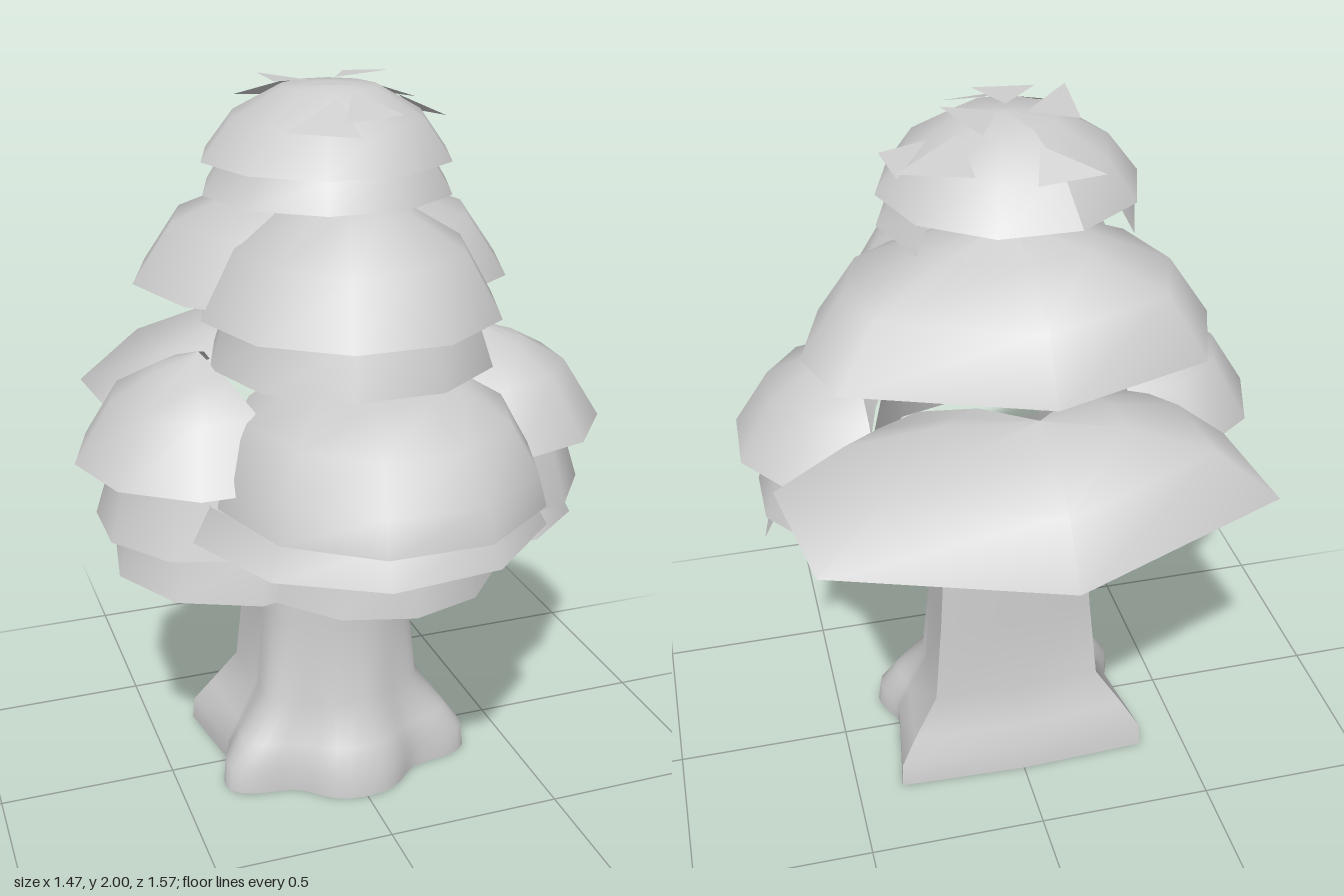
import * as THREE from 'three';

const grey = new THREE.MeshStandardMaterial({ color: 0xcccccc, side: THREE.DoubleSide });
grey.name = 'plain grey';

// Smooth surface through rows of points, all rows the same length
function loft(name, rows) {
  const n = rows[0].length;
  const index = [];
  for (let r = 0; r < rows.length - 1; r++) {
    for (let i = 0; i < n - 1; i++) {
      const a = r * n + i, b = a + n;
      index.push(a, a + 1, b + 1, a, b + 1, b);
    }
  }
  const geo = new THREE.BufferGeometry();
  geo.setAttribute('position', new THREE.Float32BufferAttribute(rows.flat(2), 3));
  geo.setIndex(index);
  geo.computeVertexNormals();
  const mesh = new THREE.Mesh(geo, grey);
  mesh.name = name;
  return mesh;
}

// Points [x, z] on an arc; 0 degrees is the front (+z), 90 is +x
function arc(cx, cz, r, from, to, n) {
  return Array.from({ length: n + 1 }, (_, i) => {
    const a = THREE.MathUtils.degToRad(from + (to - from) * i / n);
    return [cx + r * Math.sin(a), cz + r * Math.cos(a)];
  });
}

// Hollow leaf dome: rim outline shrinks to the apex along a [scale, height] profile
function dome(name, rim, apex, rimY, profile) {
  const [ax, ay, az] = apex;
  return loft(name, profile.map(([s, h]) => rim.map(([x, z]) =>
    [ax + (x - ax) * s, rimY + (ay - rimY) * h, az + (z - az) * s])));
}

// Flared open strip hanging beneath a dome
function skirt(name, cx, cz, rTop, rBottom, yTop, yBottom, from, to, n) {
  const top = arc(cx, cz, rTop, from, to, n).map(([x, z]) => [x, yTop, z]);
  const bottom = arc(cx, cz, rBottom, from, to, n).map(([x, z]) => [x, yBottom, z]);
  return loft(name, [bottom, top]);
}

const ROUND = [[1, 0], [0.77, 0.55], [0.38, 0.94], [0, 1]];
const FULL = [[1, 0], [0.95, 0.3], [0.8, 0.7], [0.52, 0.95], [0, 1]];
const PEAKED = [[1, 0], [0.7, 0.6], [0.35, 0.84], [0, 1]];

function trunk() {
  const group = new THREE.Group();
  group.name = 'trunk';
  // height, half width, front depth, corner depth, middle back depth, root strength
  const layers = [
    [0, 0.37, 0.28, 0.265, 0.28, 0.11], [0.07, 0.365, 0.275, 0.255, 0.27, 0.1],
    [0.14, 0.32, 0.25, 0.225, 0.24, 0.08], [0.25, 0.245, 0.195, 0.185, 0.2, 0.03],
    [0.5, 0.222, 0.18, 0.17, 0.19, 0.01], [0.95, 0.19, 0.15, 0.145, 0.17, 0],
  ];
  const steps = 36;
  // Rooted front half, ending in the two back corners
  const rows = layers.map(([y, rx, zf, zb, , w]) => {
    const front = Array.from({ length: steps + 1 }, (_, i) => {
      const a = (i / steps - 0.5) * Math.PI;
      const root = 1 - w + 2 * w * Math.pow(Math.cos(3 * a), 2);
      const s = Math.sin(a);
      return [rx * Math.sign(s) * Math.pow(Math.abs(s), 0.85) * root, y, zf * Math.cos(a) * root];
    });
    return [[-rx, y, -zb], ...front, [rx, y, -zb]];
  });
  group.add(loft('bark', rows));
  // Plain back face
  group.add(loft('trunkBack', rows.map((r, i) =>
    [r[r.length - 1], [0, layers[i][0], -layers[i][4]], r[0]])));
  return group;
}

export function createModel() {
  const model = new THREE.Group();
  model.name = 'tree';
  model.add(trunk());

  // Top tier
  model.add(dome('topCap', arc(-0.01, -0.025, 0.34, -162, 198, 10), [0, 1.98, -0.02], 1.79, ROUND));
  model.add(skirt('topSkirt', -0.01, -0.02, 0.29, 0.34, 1.785, 1.705, -126, 126, 7));

  // Middle tier: front dome and wide back slab
  model.add(dome('middleFrontDome', arc(0, 0.14, 0.405, -126, 126, 7), [0, 1.71, 0.1], 1.42,
    [[1, 0], [0.77, 0.57], [0.33, 0.95], [0, 1]]));
  model.add(skirt('middleFrontSkirt', 0, 0.14, 0.34, 0.385, 1.42, 1.29, -126, 126, 7));
  model.add(dome('middleBackSlab', [
    [0.34, 0.17], [0.48, 0.07], [0.56, -0.18], [0.5, -0.38], [0, -0.57],
    [-0.42, -0.43], [-0.51, -0.18], [-0.43, 0.07], [-0.32, 0.17],
  ], [0.01, 1.75, -0.14], 1.44, [[1, 0], [0.79, 0.52], [0.4, 0.8], [0, 1]]));

  // Lower tier: front dome with two skirts
  model.add(dome('lowerFrontDome', arc(0, 0.37, 0.435, -126, 126, 7), [0, 1.29, 0.24], 1.0, FULL));
  model.add(skirt('lowerFrontSkirt', -0.02, 0.31, 0.43, 0.48, 1.0, 0.91, -120, 132, 7));
  model.add(skirt('lowerFrontFringe', 0, 0.3, 0.3, 0.34, 0.93, 0.75, -65, 65, 4));

  // Lower tier: side domes, open towards the trunk
  for (const side of [1, -1]) {
    const label = side > 0 ? 'left' : 'right';
    const cx = side * 0.38, mid = side * 90;
    const from = side > 0 ? -38 : -198;
    model.add(dome(label + 'LowerDome', arc(cx, 0.085, 0.36, from, from + 216, 6),
      [side * 0.4, 1.32, 0.08], 1.05, PEAKED));
    model.add(skirt(label + 'LowerSkirt', side * 0.365, 0.085, 0.265, 0.325, 1.05, 0.86, mid - 90, mid + 90, 5));
  }
  model.add(skirt('leftLowerFringe', 0.36, 0.06, 0.27, 0.325, 0.87, 0.77, -20, 98, 3));
  model.add(skirt('rightLowerFringe', -0.3, 0.06, 0.31, 0.35, 0.86, 0.725, -118, 70, 5));

  // Lower tier: back slab
  model.add(dome('lowerBackSlab', [
    [0.36, -0.02], [0.52, -0.1], [0.66, -0.19], [0.6, -0.58], [0, -0.79],
    [-0.61, -0.53], [-0.58, -0.2], [-0.5, -0.1], [-0.36, -0.02],
  ], [0, 1.31, -0.4], 1.06, [[1, 0], [0.72, 0.6], [0.35, 0.9], [0, 1]]));

  // Loose triangular leaves on the crown
  const leaves = [
    [-0.18, 1.91, -0.31, -0.04, 1.96, -0.22, -0.01, 1.9, -0.32],
    [-0.16, 1.99, -0.15, -0.18, 2.0, 0.07, -0.05, 1.98, -0.05],
    [0.13, 1.92, -0.28, 0.13, 1.96, -0.1, 0.3, 1.9, -0.17],
    [0.09, 1.98, -0.18, 0.02, 1.985, -0.04, 0.16, 2.0, -0.02],
    [-0.01, 1.985, 0, -0.11, 1.99, 0.1, 0.05, 1.99, 0.12],
    [0.29, 1.87, -0.13, 0.2, 1.93, -0.05, 0.31, 1.88, 0.02],
    [-0.2, 1.9, 0.22, -0.03, 1.89, 0.3, -0.03, 1.96, 0.13],
    [0.02, 1.97, 0.1, -0.06, 1.92, 0.26, 0.11, 1.925, 0.22],
  ];
  const crown = new THREE.Group();
  crown.name = 'crownLeaves';
  for (const points of leaves) {
    const geo = new THREE.BufferGeometry();
    geo.setAttribute('position', new THREE.Float32BufferAttribute(points, 3));
    geo.computeVertexNormals();
    const leaf = new THREE.Mesh(geo, grey);
    leaf.name = 'leaf';
    crown.add(leaf);
  }
  model.add(crown);
  return model;
}
